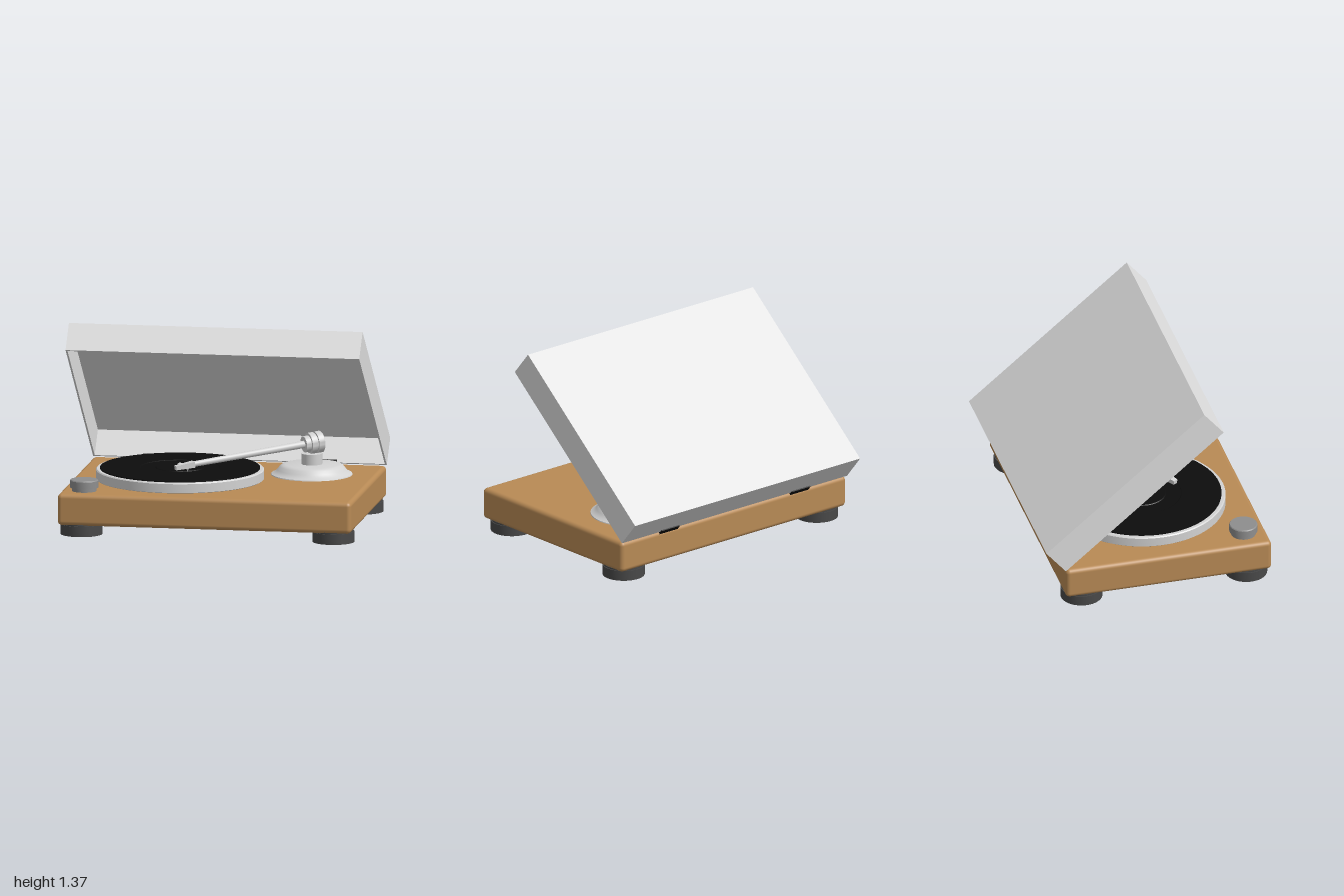
import * as THREE from 'three';
import { toCreasedNormals } from 'three/addons/utils/BufferGeometryUtils.js';
import { RoundedBoxGeometry } from 'three/addons/geometries/RoundedBoxGeometry.js';

const paint = (name, color) => {
  const m = new THREE.MeshStandardMaterial({ color });
  m.name = name;
  return m;
};

export function createModel() {
  const wood = paint('wood', 0xb88a55);
  const rubber = paint('dark rubber', 0x484848);
  const metal = paint('light metal', 0xd2d2d2);
  const knobGrey = paint('knob grey', 0x8e8e8e);
  const vinyl = paint('black vinyl', 0x0d0d0d);
  const cover = paint('cover grey', 0xdedede);

  const model = new THREE.Group();
  model.name = 'turntable';

  const add = (parent, name, geometry, material, x = 0, y = 0, z = 0) => {
    const mesh = new THREE.Mesh(geometry, material);
    mesh.name = name;
    mesh.position.set(x, y, z);
    parent.add(mesh);
    return mesh;
  };
  // Turned part from [radius, height] pairs, bottom to top
  const turned = (profile, sides = 64) => toCreasedNormals(
    new THREE.LatheGeometry(profile.map(([r, y]) => new THREE.Vector2(r, y)), sides), 0.5);

  // Plinth and feet
  add(model, 'plinth', new RoundedBoxGeometry(2, 0.215, 1.43, 4, 0.03), wood, 0, 0.1825, 0.07);
  for (const x of [-0.858, 0.858]) {
    for (const z of [0.643, -0.502]) {
      add(model, 'foot', turned([[0, 0], [0.142, 0], [0.142, 0.07], [0.135, 0.07], [0.135, 0.08], [0, 0.08]], 48),
        rubber, x, 0, z);
    }
  }

  // Platter, record with a slightly stepped centre, spindle
  const deck = new THREE.Group();
  deck.name = 'platterAssembly';
  deck.position.set(-0.285, 0.285, 0.07);
  model.add(deck);
  add(deck, 'platter', turned([[0, 0], [0.555, 0], [0.565, 0.008], [0.565, 0.068], [0.558, 0.075], [0, 0.075]], 96), metal);
  add(deck, 'record', turned([[0, 0.07], [0.537, 0.07], [0.537, 0.083], [0.27, 0.083], [0.265, 0.08],
    [0.165, 0.08], [0.16, 0.084], [0, 0.084]], 96), vinyl);
  add(deck, 'spindle', turned([[0, 0.08], [0.017, 0.08], [0.017, 0.104], [0.011, 0.11], [0, 0.11]], 24), metal);

  // Control knob on a narrower neck
  add(model, 'controlKnob', turned([[0, 0], [0.083, 0], [0.083, 0.027], [0.095, 0.027], [0.095, 0.074],
    [0.09, 0.08], [0, 0.08]], 40), knobGrey, -0.842, 0.287, 0.628);

  // Flared tonearm base and column
  add(model, 'tonearmBase', turned([[0, 0], [0.275, 0], [0.272, 0.008], [0.25, 0.018], [0.232, 0.036],
    [0.215, 0.058], [0.2, 0.068], [0.18, 0.073], [0, 0.073]]), metal, 0.56, 0.288, -0.235);
  add(model, 'tonearmColumn', new THREE.CylinderGeometry(0.07, 0.07, 0.08, 40), metal, 0.56, 0.393, -0.235);

  // Tonearm, built along local +z from the pivot towards the record
  const arm = new THREE.Group();
  arm.name = 'tonearm';
  arm.position.set(0.565, 0.502, -0.246);
  model.add(arm);
  arm.lookAt(-0.28, 0.408, 0.312);

  const pivot = add(arm, 'pivotWeight', turned([[0, -0.063], [0.068, -0.063], [0.073, -0.058], [0.073, -0.018],
    [0.06, -0.018], [0.06, -0.008], [0.072, -0.008], [0.072, 0.03], [0.055, 0.03], [0.055, 0.066], [0, 0.066]], 48), metal);
  pivot.rotation.x = Math.PI / 2;
  const tube = add(arm, 'armTube', new THREE.CylinderGeometry(0.019, 0.025, 0.85, 24), metal, 0, 0, 0.475);
  tube.rotation.x = Math.PI / 2;

  // Headshell narrows and thins towards its tip
  const shell = new THREE.BoxGeometry(0.056, 0.04, 0.135);
  const p = shell.attributes.position;
  for (let i = 0; i < p.count; i++) {
    if (p.getZ(i) > 0) p.setXYZ(i, p.getX(i) * 0.6, p.getY(i) > 0 ? 0.01 : -0.018, p.getZ(i));
  }
  shell.computeVertexNormals();
  add(arm, 'headshell', shell, metal, 0, 0, 0.945);
  const stylus = add(arm, 'stylus', new THREE.ConeGeometry(0.014, 0.034, 16), metal, 0, -0.03, 0.925);
  stylus.rotation.x = Math.PI;

  // Open dust cover, hinged at its lower back edge
  const lid = new THREE.Group();
  lid.name = 'dustCover';
  lid.position.set(0, 0.291, -0.648);
  lid.rotation.x = -THREE.MathUtils.degToRad(40);
  model.add(lid);
  const W = 2, H = 0.21, D = 1.432, T = 0.012;
  add(lid, 'coverTop', new THREE.BoxGeometry(W, T, D), cover, 0, H - T / 2, D / 2);
  for (const z of [T / 2, D - T / 2]) {
    add(lid, z < 1 ? 'coverBack' : 'coverFront', new THREE.BoxGeometry(W, H - T, T), cover, 0, (H - T) / 2, z);
  }
  for (const s of [-1, 1]) {
    add(lid, 'coverSide', new THREE.BoxGeometry(T, H - T, D - 2 * T), cover, s * (W - T) / 2, (H - T) / 2, D / 2);
    add(lid, 'hinge', new THREE.BoxGeometry(0.16, 0.04, 0.026), vinyl, s * 0.58, 0, 0.005);
  }

  return model;
}
